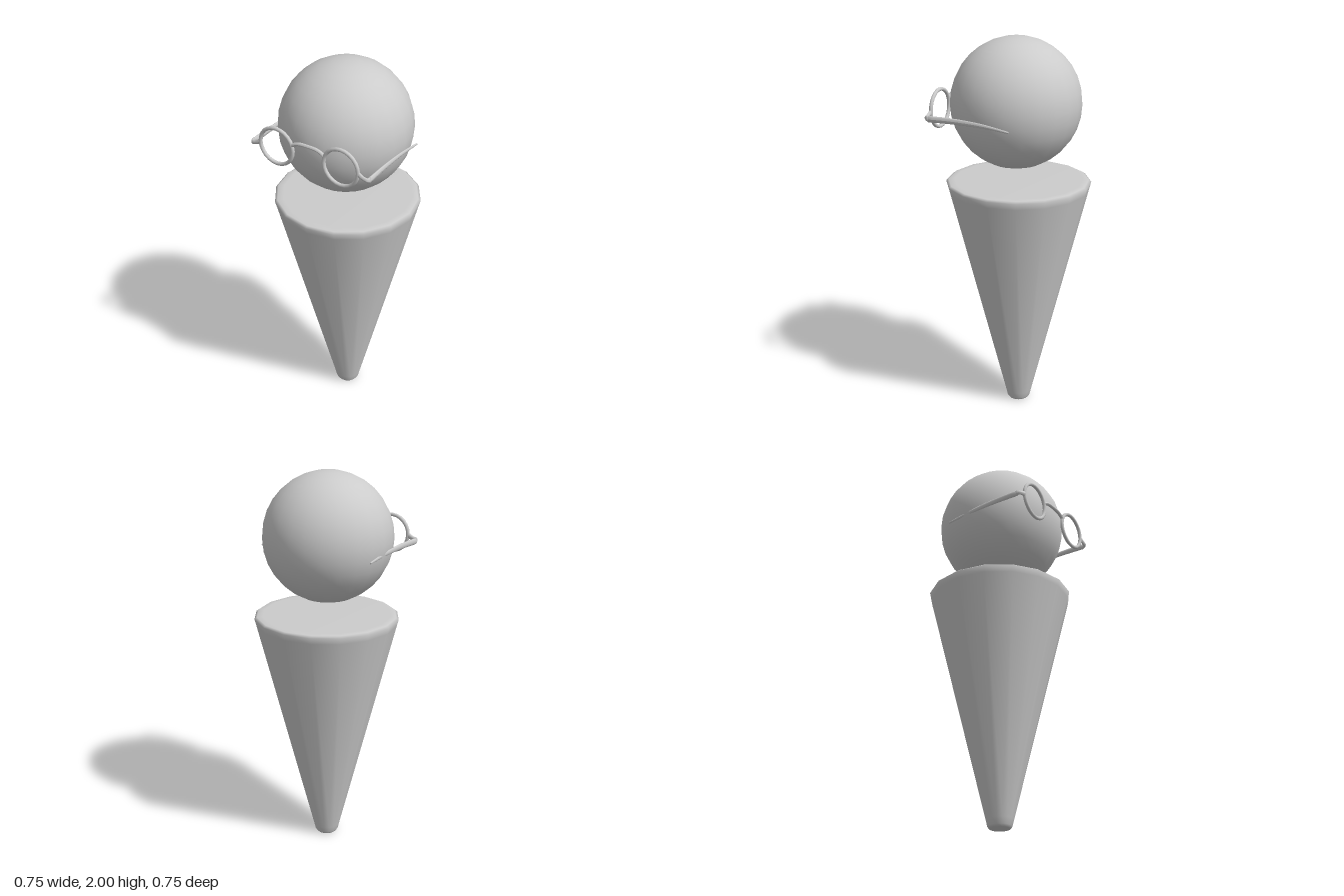
import * as THREE from 'three';

const grey = new THREE.MeshStandardMaterial({ color: 0xcccccc });

function part(name, geometry, parent) {
  const mesh = new THREE.Mesh(geometry, grey);
  mesh.name = name;
  parent.add(mesh);
  return mesh;
}

// Closed bar along a curve; width and height are functions of t giving half sizes.
function bar(points, width, height, steps = 16, sides = 10) {
  const curve = new THREE.CatmullRomCurve3(points.map(p => new THREE.Vector3(...p)));
  const geo = new THREE.TubeGeometry(curve, steps, 1, sides, false);
  const pos = geo.attributes.position;
  const v = new THREE.Vector3();
  for (let i = 0; i <= steps; i++) {
    const t = THREE.MathUtils.clamp((i - 1) / (steps - 2), 0, 1);
    const from = curve.getPointAt(i / steps);
    const to = curve.getPointAt(t);
    const cap = i === 0 || i === steps ? 0 : 1; // end rings collapse into caps
    for (let j = 0; j <= sides; j++) {
      const k = i * (sides + 1) + j;
      v.fromBufferAttribute(pos, k).sub(from);
      v.x *= width(t) * cap;
      v.z *= width(t) * cap;
      v.y *= height(t) * cap;
      v.add(to);
      pos.setXYZ(k, v.x, v.y, v.z);
    }
  }
  geo.computeVertexNormals();
  return geo;
}

export function createModel() {
  const model = new THREE.Group();
  model.name = 'figure';

  // Tapered body with softened rims
  const profile = [
    [0, 0], [0.052, 0], [0.062, 0.012], [0.07, 0.045], [0.366, 1.22],
    [0.375, 1.253], [0.362, 1.263], [0.33, 1.265], [0, 1.265],
  ].map(p => new THREE.Vector2(...p));
  part('body', new THREE.LatheGeometry(profile, 16), model);

  // Floating head
  part('head', new THREE.SphereGeometry(0.334, 24, 16), model).position.set(0, 1.666, 0.0125);

  // Glasses
  const glasses = new THREE.Group();
  glasses.name = 'glasses';
  glasses.position.x = 0.005;
  model.add(glasses);

  for (const s of [1, -1]) {
    const side = s > 0 ? 'left' : 'right';
    part(side + 'Rim', new THREE.TorusGeometry(0.094, 0.0095, 10, 24), glasses)
      .position.set(s * 0.181, 1.646, 0.347);

    // End piece turning back to the hinge
    part(side + 'EndPiece', bar(
      [[s * 0.27, 1.645, 0.347], [s * 0.3, 1.632, 0.348], [s * 0.324, 1.625, 0.346], [s * 0.329, 1.623, 0.332]],
      () => 0.008,
      t => 0.02 - 0.032 * t + 0.029 * t * t), glasses);

    // Temple arm narrowing towards its tip
    part(side + 'Temple', bar(
      [[s * 0.328, 1.622, 0.335], [s * 0.328, 1.624, 0.2], [s * 0.328, 1.617, 0.04], [s * 0.328, 1.6, -0.1]],
      t => 0.0085 - 0.005 * t,
      t => 0.016 - 0.011 * t * t), glasses);
  }

  // Arched bridge
  part('bridge', bar(
    [[-0.096, 1.675, 0.347], [-0.075, 1.688, 0.347], [-0.05, 1.697, 0.347], [0, 1.7, 0.347],
      [0.05, 1.697, 0.347], [0.075, 1.688, 0.347], [0.096, 1.675, 0.347]],
    () => 0.009, () => 0.009), glasses);

  return model;
}
